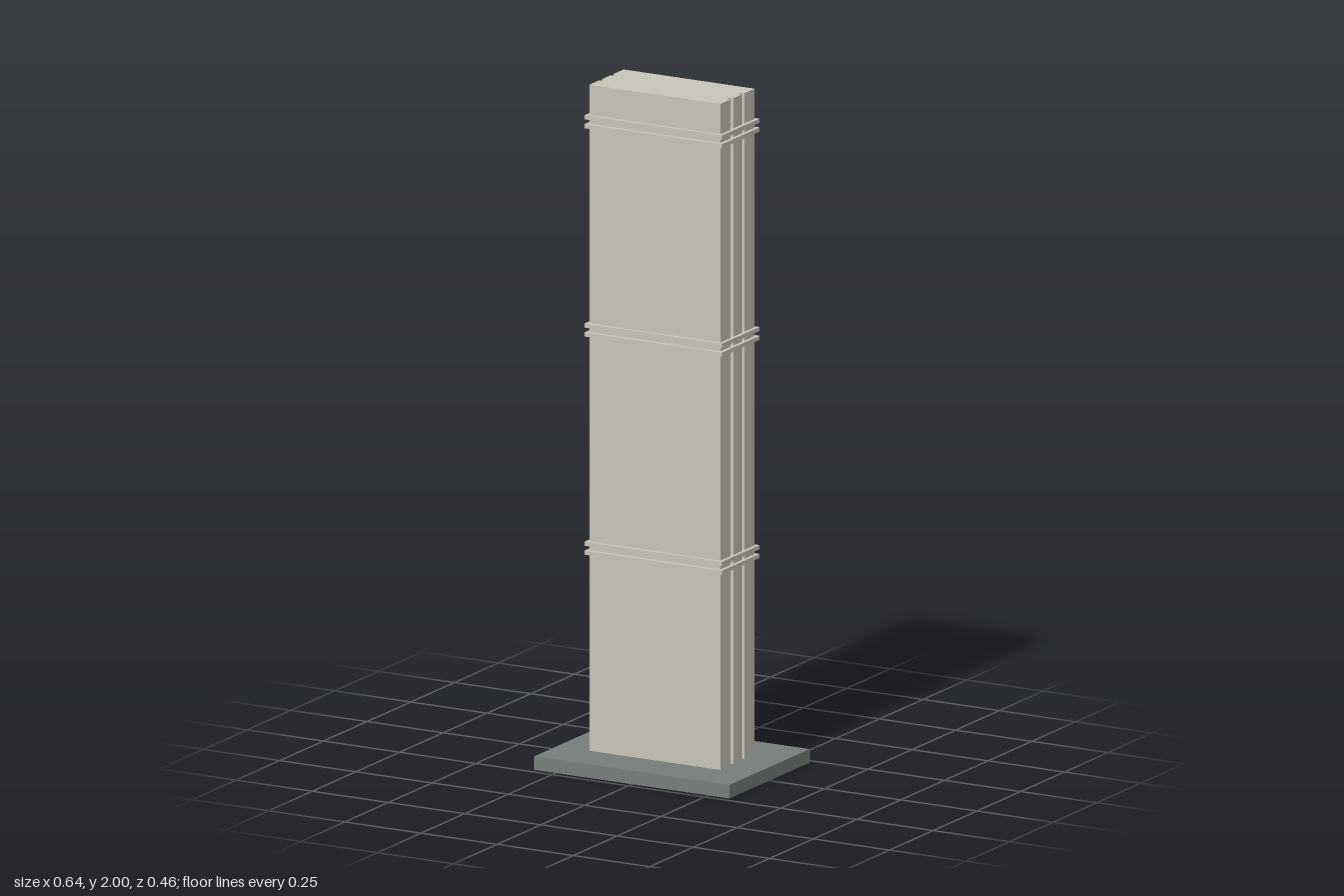
import * as THREE from 'three';

export function createModel() {
  const model = new THREE.Group();
  const stone = new THREE.MeshStandardMaterial({ color: 0xc8c4b8 });
  stone.name = 'pale stone';
  const slate = new THREE.MeshStandardMaterial({ color: 0x767d7a });
  slate.name = 'slate grey';

  const add = (name, geometry, material, y) => {
    const mesh = new THREE.Mesh(geometry, material);
    mesh.name = name;
    mesh.position.y = y;
    model.add(mesh);
  };

  // Plinth
  const baseHeight = 0.04;
  add('base', new THREE.BoxGeometry(0.64, baseHeight, 0.46), slate, baseHeight / 2);

  // Tower shaft: rectangular plan with two vertical grooves in each narrow end
  const w = 0.215, d = 0.098, inner = 0.204;
  const side = [
    [w, -d], [w, -0.04], [inner, -0.04], [inner, -0.024], [w, -0.024],
    [w, 0.024], [inner, 0.024], [inner, 0.04], [w, 0.04], [w, d],
  ];
  const plan = [...side, ...side.map(([x, z]) => [-x, -z])];
  const shape = new THREE.Shape(plan.map(([x, z]) => new THREE.Vector2(x, z)));
  const shaft = new THREE.ExtrudeGeometry(shape, { depth: 2 - baseHeight, bevelEnabled: false });
  shaft.rotateX(-Math.PI / 2);
  add('towerShaft', shaft, stone, baseHeight);

  // Paired bands running around the shaft
  for (const y of [0.637, 1.279, 1.892]) {
    for (const offset of [-0.013, 0.013]) {
      add('band', new THREE.BoxGeometry(0.451, 0.012, 0.216), stone, y + offset);
    }
  }

  return model;
}
